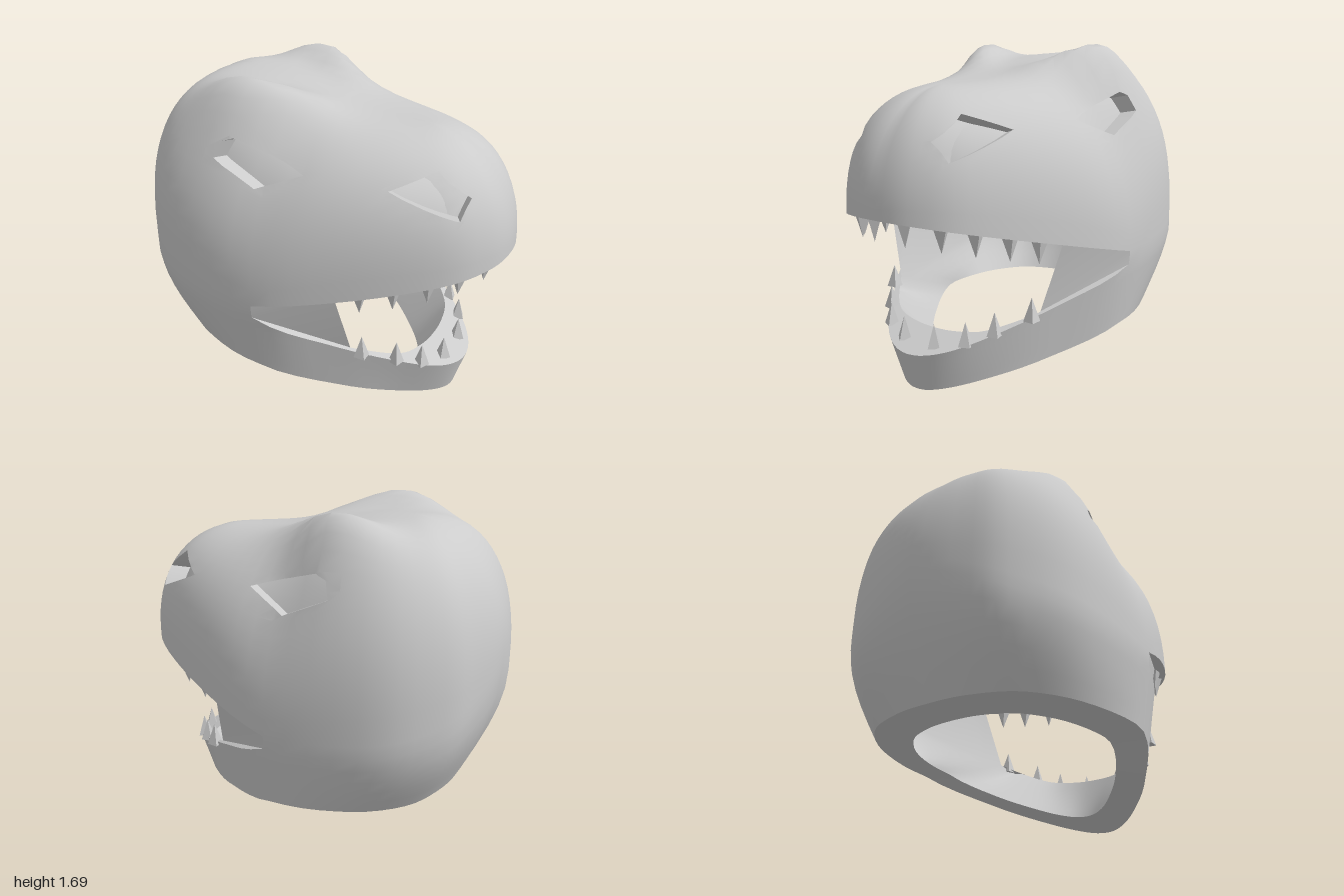
import * as THREE from 'three';
import { toCreasedNormals } from 'three/addons/utils/BufferGeometryUtils.js';

const V = (x, y, z) => new THREE.Vector3(x, y, z);
const lerp = THREE.MathUtils.lerp;
const COLS = 72;

// Closed plan outline from half a contour: u = 0 back, 0.25 mouth corner, 0.5 snout tip
function outline(half) {
  const mirrored = half.slice(1, -1).reverse().map(([x, z]) => [x, -z]);
  return new THREE.CatmullRomCurve3([...half, ...mirrored].map(([x, z]) => V(x, 0, z)), true, 'catmullrom');
}

const OUTER = {
  upper: outline([[-1, 0], [-.97, .25], [-.88, .48], [-.6, .685], [-.06, .735], [.4, .61], [.8, .4], [.96, .2], [1, 0]]),
  lower: outline([[-1, 0], [-.97, .25], [-.88, .48], [-.6, .685], [-.06, .73], [.3, .55], [.62, .32], [.77, .16], [.82, 0]]),
  rim: outline([[-.82, 0], [-.8, .22], [-.7, .45], [-.45, .62], [-.06, .68], [.33, .48], [.58, .28], [.72, .12], [.76, 0]]),
  ridgeDrop: 0, rimDrop: 0, brow: .2, boxy: 0,
};
const INNER = {
  upper: outline([[-.88, 0], [-.85, .21], [-.75, .42], [-.4, .6], [.33, .58], [.55, .49], [.75, .31], [.84, .15], [.87, 0]]),
  lower: outline([[-.87, 0], [-.84, .21], [-.74, .42], [-.4, .58], [.37, .48], [.48, .39], [.58, .27], [.62, .13], [.63, 0]]),
  rim: outline([[-.65, 0], [-.63, .17], [-.55, .33], [-.35, .46], [-.06, .5], [.2, .38], [.4, .22], [.5, .1], [.53, 0]]),
  ridgeDrop: .11, rimDrop: .02, brow: .1, boxy: .35,
};

const upperLipY = x => .65 + .236 * (x + .06);
const lowerLipY = x => .58 - .43 * (x + .06);
const rimY = x => (x < -.08 ? .258 + .04 * (-.08 - x) / .74 : .258 - .307 * (x + .08));
const ridgeY = x => 1.57 - .08 * Math.tanh((x + .02) * 3);
// 0 along the mouth, rising to 1 at the back of the head
const backness = u => Math.max(0, Math.abs(u - .5) * 4 - 1);

function lipPoint(curve, u, lipY, backY) {
  const p = curve.getPoint(u % 1), k = backness(u);
  p.y = k > 0 ? lerp(lipY(curve.getPoint(.25).x), backY, k ** 1.3) : lipY(p.x);
  return p;
}
const upperLip = (s, u) => lipPoint(s.upper, u, upperLipY, .98);
const lowerLip = (s, u) => lipPoint(s.lower, u, lowerLipY, .92);
function rimPoint(s, u) {
  const p = s.rim.getPoint(u % 1);
  p.y = rimY(p.x) - s.rimDrop;
  return p;
}

// Brow ridges, highest at the back and running forward towards the snout
function browHeight(x, z) {
  const dx = x + .26, crest = .42 - .5 * Math.min(.3, Math.max(0, dx)), dz = Math.abs(z) - crest;
  return Math.exp(-((dx / (dx > 0 ? .29 : .28)) ** 2) - (dz / (dz > 0 ? .18 : .15)) ** 2);
}

// Dome: rounded arc from the lip up to the centre ridge, slimmer around the eyes
function domePoint(s, u, t) {
  const b = upperLip(s, u), eyes = Math.exp(-(((b.x + .05) / .35) ** 2));
  const n = 2 + s.boxy + Math.min(1, Math.abs(b.z) / .5) * (.6 - .5 * eyes);
  const c = t === 1 ? 0 : Math.cos(t * Math.PI / 2) ** (2 / n);
  const v = Math.sin(t * Math.PI / 2) ** (2 / n);
  const rx = b.x * .5, x = lerp(rx, b.x, c), z = b.z * c;
  return V(x, lerp(b.y, ridgeY(rx) - s.ridgeDrop, v) + s.brow * v * browHeight(x, z), z);
}

function skirtPoint(s, u, t) {
  const a = rimPoint(s, u), b = lowerLip(s, u);
  const h = lerp(t, Math.sin(t * Math.PI / 2), Math.min(1, backness(u) * 2));
  return V(lerp(a.x, b.x, h), lerp(a.y, b.y, t), lerp(a.z, b.z, h));
}

// Convex sockets, counter-clockwise in side view, with their inward offset
const SOCKETS = [
  { pts: [[-.34, 1.34], [-.1, 1.23], [.13, 1.32], [-.25, 1.44], [-.31, 1.42]], off: V(.02, -.02, -.11) },
  { pts: [[.53, 1.3], [.84, 1.17], [.855, 1.26], [.7, 1.375]], off: V(-.05, -.03, -.1) },
];

const side = (p, a, b) => (b[0] - a[0]) * (p.y - a[1]) - (b[1] - a[1]) * (p.x - a[0]);

// Splits a polygon along the line a-b into its inside and outside pieces
function split(poly, a, b) {
  const inside = [], outside = [];
  poly.forEach((p, i) => {
    const q = poly[(i + 1) % poly.length], dp = side(p, a, b), dq = side(q, a, b);
    if (dp >= 0) inside.push(p);
    if (dp <= 0) outside.push(p);
    if (dp * dq < 0) {
      const m = p.clone().lerp(q, dp / (dp - dq));
      inside.push(m);
      outside.push(m);
    }
  });
  return [inside, outside];
}

function fan(out, poly) {
  for (let i = 1; i < poly.length - 1; i++) out.push(poly[0], poly[i], poly[i + 1]);
}

// Emits a triangle, sinking whatever lies inside a socket and walling its edge
function carve(out, tri) {
  const sgn = Math.sign(tri[0].z + tri[1].z + tri[2].z);
  let pieces = [tri];
  for (const { pts, off } of SOCKETS) {
    const o = V(off.x, off.y, off.z * sgn), next = [];
    for (const piece of pieces) {
      let rest = piece;
      const outside = [];
      pts.forEach((a, i) => {
        if (rest.length < 3) return;
        const [inn, outer] = split(rest, a, pts[(i + 1) % pts.length]);
        if (outer.length > 2) outside.push(outer);
        rest = inn;
      });
      if (rest.length < 3) { next.push(piece); continue; }
      next.push(...outside);
      fan(out, rest.map(p => p.clone().add(o)));
      rest.forEach((p, i) => {
        const q = rest[(i + 1) % rest.length];
        const onEdge = pts.some((a, k) => {
          const b = pts[(k + 1) % pts.length];
          return Math.abs(side(p, a, b)) < 1e-7 && Math.abs(side(q, a, b)) < 1e-7;
        });
        if (onEdge) fan(out, [p, q, q.clone().add(o), p.clone().add(o)]);
      });
    }
    pieces = next;
  }
  pieces.forEach(p => fan(out, p));
}

// Grid over columns and rows; flip turns it inward, keep selects columns
function patch(out, fn, rows, { flip = false, keep = () => true, emit = fan } = {}) {
  for (let i = 0; i < COLS; i++) {
    if (!keep((i + .5) / COLS)) continue;
    for (let j = 0; j < rows; j++) {
      const [u, w, t, r] = [i / COLS, (i + 1) / COLS, j / rows, (j + 1) / rows];
      const q = [fn(u, t), fn(w, t), fn(w, r), fn(u, r)];
      if (flip) q.reverse();
      emit(out, [q[0], q[1], q[2]]);
      emit(out, [q[0], q[2], q[3]]);
    }
  }
}

function creasedMesh(name, points, material) {
  const g = toCreasedNormals(new THREE.BufferGeometry().setFromPoints(points), .8);
  const m = new THREE.Mesh(g, material);
  m.name = name;
  return m;
}

export function createModel() {
  const group = new THREE.Group();
  group.name = 'dinosaurHeadMask';
  const material = new THREE.MeshStandardMaterial({ color: 0xcccccc, side: THREE.DoubleSide });
  const mouth = u => u > .25 && u < .75, back = u => !mouth(u);

  // Outer skin and inner lining
  for (const [name, s, flip] of [['outerSkin', OUTER, false], ['innerLining', INNER, true]]) {
    const pts = [];
    patch(pts, (u, t) => domePoint(s, u, t), 18, { flip, emit: flip ? fan : carve });
    patch(pts, (u, t) => lowerLip(s, u).lerp(upperLip(s, u), t), 1, { flip, keep: back });
    patch(pts, (u, t) => skirtPoint(s, u, t), 5, { flip });
    group.add(creasedMesh(name, pts, material));
  }

  // Lips, neck rim and the panels at the mouth corners
  const edge = [];
  const across = f => (u, t) => f(OUTER, u).lerp(f(INNER, u), t);
  patch(edge, across(lowerLip), 1, { keep: mouth });
  patch(edge, across(upperLip), 1, { keep: mouth, flip: true });
  patch(edge, across(rimPoint), 1, { flip: true });
  for (const u of [.25, .75]) {
    const q = [lowerLip(OUTER, u), lowerLip(INNER, u), upperLip(INNER, u), upperLip(OUTER, u)];
    fan(edge, u < .5 ? q : q.reverse());
  }
  group.add(creasedMesh('lipsAndNeckRim', edge, material));

  // Teeth along both lips
  const toothMaterial = new THREE.MeshStandardMaterial({ color: 0xcccccc, flatShading: true });
  const toothGeometry = new THREE.ConeGeometry(.042, .12, 4);
  const addTeeth = (name, spots, lipY, dir) => {
    for (const [x, z] of spots) for (const s of [1, -1]) {
      const tooth = new THREE.Mesh(toothGeometry, toothMaterial);
      tooth.name = name;
      tooth.position.set(x, lipY(x) + dir * .05, z * s);
      tooth.rotation.set(dir < 0 ? Math.PI : 0, Math.atan2(z * s, x) * dir, 0);
      group.add(tooth);
    }
  };
  addTeeth('upperTooth', [[.91, .1], [.84, .26], [.73, .37], [.59, .46], [.44, .52]], upperLipY, -1);
  addTeeth('lowerTooth', [[.73, .1], [.67, .25], [.57, .35], [.43, .47]], lowerLipY, 1);
  return group;
}
